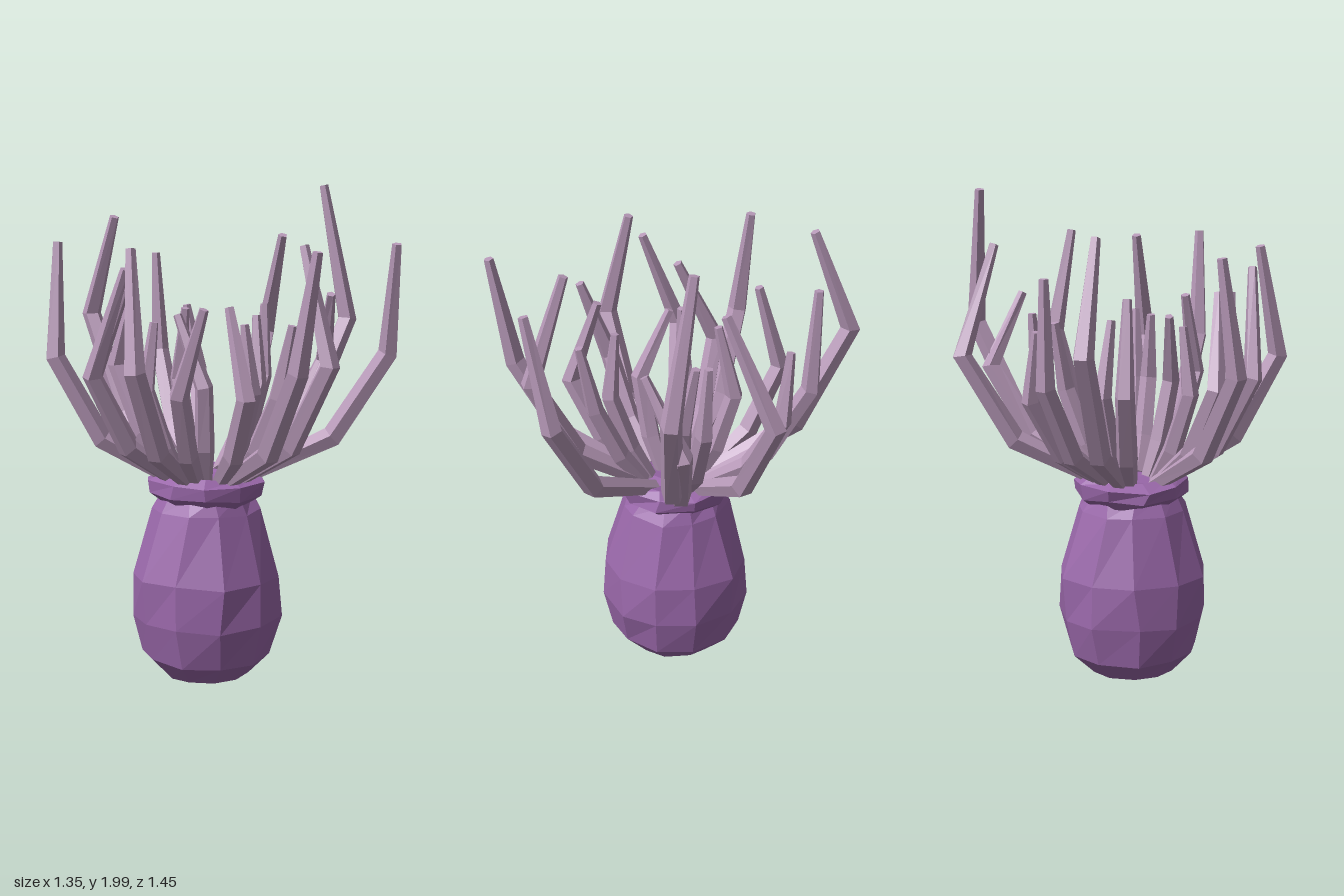
import * as THREE from 'three';

const bodyPurple = new THREE.MeshStandardMaterial({ color: 0x9a68aa });
bodyPurple.name = 'body purple';
const tentacleMauve = new THREE.MeshStandardMaterial({ color: 0xb799b8 });
tentacleMauve.name = 'tentacle mauve';

const CX = -0.04, CZ = 0.02; // axis of the body

// Small seeded noise in -1..1
function seeded(seed) {
  let s = seed;
  return () => {
    s = (s * 16807) % 2147483647;
    return (s / 2147483647) * 2 - 1;
  };
}

// Faceted skin over rings of equal point count, listed along the axis, with end caps
function loft(rings) {
  const pos = [];
  const n = rings[0].length;
  const tri = (a, b, c) => [a, b, c].forEach((p) => pos.push(p.x, p.y, p.z));
  for (let i = 0; i < rings.length - 1; i++) {
    for (let j = 0; j < n; j++) {
      const k = (j + 1) % n;
      const a = rings[i][j], b = rings[i][k], c = rings[i + 1][k], d = rings[i + 1][j];
      tri(a, b, c);
      tri(a, c, d);
    }
  }
  const first = rings[0], last = rings[rings.length - 1];
  for (let j = 1; j < n - 1; j++) {
    tri(first[0], first[j + 1], first[j]);
    tri(last[0], last[j], last[j + 1]);
  }
  const g = new THREE.BufferGeometry();
  g.setAttribute('position', new THREE.Float32BufferAttribute(pos, 3));
  g.computeVertexNormals();
  return g;
}

// Uneven rock-like turned shape; profile holds [radius, height] from bottom to top
function unevenLathe(profile, sides, jitter, seed) {
  const rnd = seeded(seed);
  return loft(profile.map(([r, y], i) => {
    const ring = [];
    const flat = i === 0 && y === 0;
    for (let j = 0; j < sides; j++) {
      const a = -(j / sides) * Math.PI * 2 + rnd() * 0.06;
      const rr = r * (1 + rnd() * jitter);
      const yy = flat ? 0 : y + rnd() * jitter * 0.2;
      ring.push(new THREE.Vector3(CX + Math.cos(a) * rr, yy, CZ + Math.sin(a) * rr));
    }
    return ring;
  }));
}

// Five-sided limb through joints, with one radius per joint
function limb(joints, radii, sides = 5) {
  const dirs = joints.slice(1).map((p, i) => p.clone().sub(joints[i]).normalize());
  const side = new THREE.Vector3(joints[2].z - CZ, 0, -(joints[2].x - CX)).normalize();
  return loft(joints.map((p, i) => {
    const t = dirs[Math.max(i - 1, 0)].clone().add(dirs[Math.min(i, dirs.length - 1)]).normalize();
    const u = side.clone().addScaledVector(t, -side.dot(t)).normalize();
    const v = t.clone().cross(u);
    const ring = [];
    for (let j = 0; j < sides; j++) {
      const a = (j / sides) * Math.PI * 2 + 0.3;
      ring.push(p.clone().addScaledVector(u, Math.cos(a) * radii[i]).addScaledVector(v, Math.sin(a) * radii[i]));
    }
    return ring;
  }));
}

// Elbow x, y, z then tip x, y, z for every tentacle
const longTentacles = [
  [0.08, 1.44, -0.69, 0.05, 1.86, -0.53],
  [0.63, 1.35, -0.15, 0.52, 1.78, 0.01],
  [0.64, 1.43, 0.26, 0.60, 1.99, 0.16],
  [0.36, 1.34, 0.63, 0.29, 1.78, 0.70],
  [-0.05, 1.33, 0.61, -0.02, 1.78, 0.47],
  [-0.28, 1.33, 0.62, -0.28, 1.78, 0.70],
  [-0.63, 1.33, 0.13, -0.55, 1.78, 0.05],
  [-0.47, 1.33, -0.41, -0.41, 1.78, -0.44],
];
const midTentacles = [
  [-0.53, 1.28, -0.16, -0.52, 1.70, 0.00],
  [0.25, 1.28, -0.45, 0.25, 1.70, -0.47],
  [-0.39, 1.25, -0.28, -0.39, 1.61, -0.11],
  [-0.05, 1.25, -0.44, -0.05, 1.61, -0.34],
  [0.57, 1.25, 0.19, 0.45, 1.55, 0.30],
  [-0.43, 1.22, 0.18, -0.43, 1.56, 0.30],
  [-0.28, 1.21, 0.39, -0.24, 1.55, 0.28],
];
const shortTentacles = [
  [-0.09, 1.20, 0.28, -0.10, 1.47, 0.25],
  [-0.19, 1.22, 0.12, -0.19, 1.50, -0.01],
  [0.33, 1.20, -0.30, 0.30, 1.48, -0.34],
  [0.35, 1.20, 0.03, 0.37, 1.50, 0.02],
  [-0.03, 1.18, 0.36, -0.02, 1.47, 0.42],
  [0.06, 1.20, -0.20, 0.03, 1.50, -0.14],
  [-0.28, 1.20, -0.10, -0.25, 1.47, -0.08],
  [0.24, 1.18, 0.08, 0.28, 1.46, 0.04],
];

function makeTentacle([ex, ey, ez, tx, ty, tz], scale, name) {
  const dx = ex - CX, dz = ez - CZ;
  const reach = Math.hypot(dx, dz);
  const at = (r, y) => new THREE.Vector3(CX + (dx / reach) * r, y, CZ + (dz / reach) * r);
  const joints = [
    at(Math.min(0.14, reach * 0.4), 0.82),
    at(reach * 0.7, 0.87 + (ey - 0.87) * 0.27),
    new THREE.Vector3(ex, ey, ez),
    new THREE.Vector3(tx, ty, tz),
  ];
  const mesh = new THREE.Mesh(limb(joints, [0.032, 0.046, 0.042, 0.02].map((r) => r * scale)), tentacleMauve);
  mesh.name = name;
  return mesh;
}

export function createModel() {
  const model = new THREE.Group();
  model.name = 'seaAnemone';

  // Bulbous trunk
  const body = new THREE.Mesh(unevenLathe([
    [0.175, 0], [0.27, 0.09], [0.308, 0.25], [0.308, 0.43], [0.225, 0.70], [0.19, 0.77],
  ], 11, 0.035, 71), bodyPurple);
  body.name = 'body';
  model.add(body);

  // Flared lip with a sunken mouth
  const collar = new THREE.Mesh(unevenLathe([
    [0.19, 0.73], [0.235, 0.765], [0.24, 0.82], [0.2, 0.845], [0.13, 0.82],
  ], 10, 0.05, 1234), bodyPurple);
  collar.name = 'collar';
  model.add(collar);

  // Crown of tentacles
  const crown = new THREE.Group();
  crown.name = 'tentacles';
  longTentacles.forEach((t, i) => crown.add(makeTentacle(t, 1, 'longTentacle' + (i + 1))));
  midTentacles.forEach((t, i) => crown.add(makeTentacle(t, 0.95, 'midTentacle' + (i + 1))));
  shortTentacles.forEach((t, i) => crown.add(makeTentacle(t, 0.9, 'shortTentacle' + (i + 1))));
  model.add(crown);
  return model;
}
